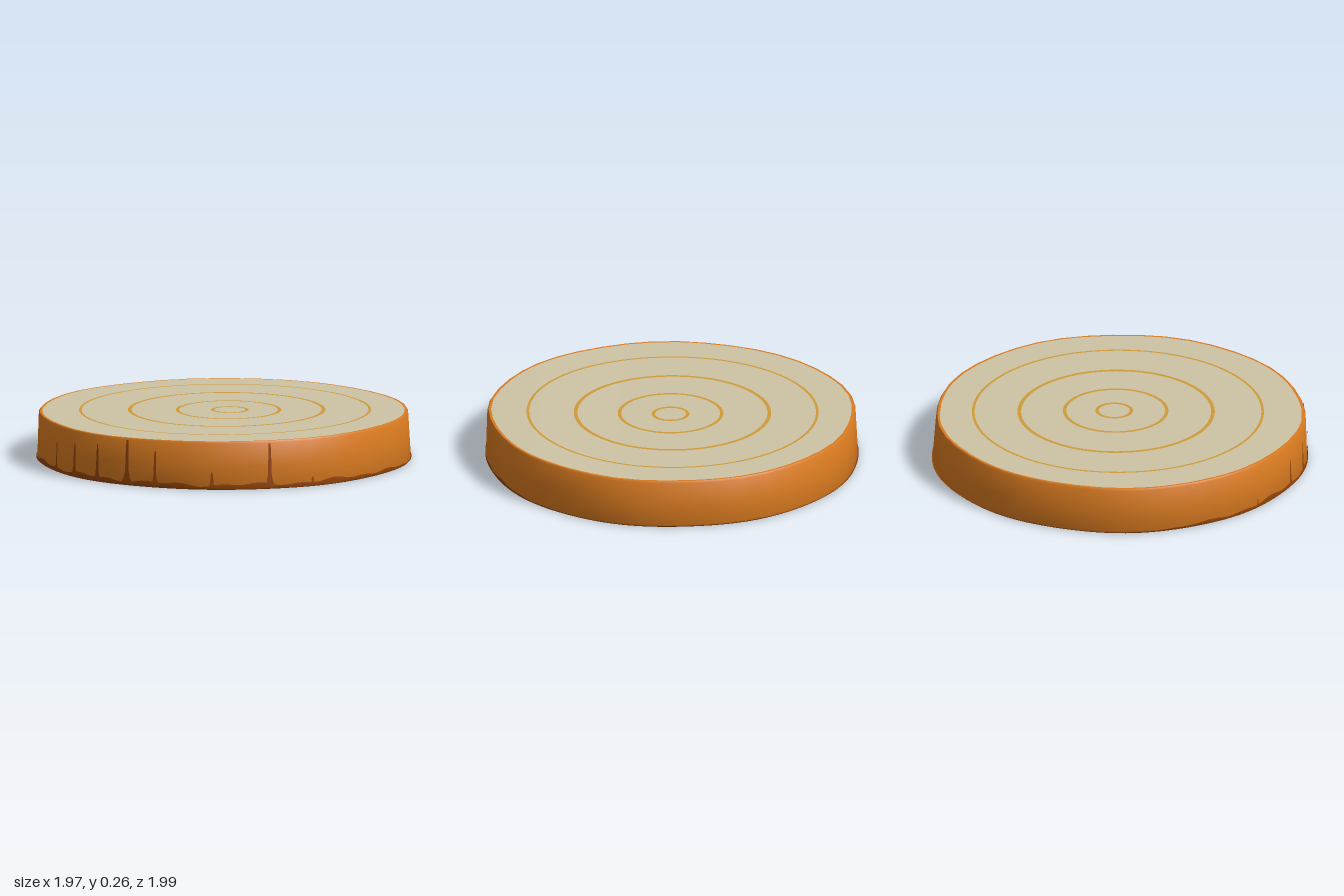
import * as THREE from 'three';
import { toCreasedNormals } from 'three/addons/utils/BufferGeometryUtils.js';

const H = 0.25, TAU = Math.PI * 2, RAD = Math.PI / 180;
const smooth = THREE.MathUtils.smoothstep;

// Gentle rise of the sawn face towards the +x side
const lift = (x) => 0.006 * smooth(x, 0.15, 0.85);

// Bark radius at an angle (0 = front, 90 degrees = +x); narrows slightly upwards
function radius(a, t) {
  const wobble = 0.003 * Math.sin(5 * a + 1) + 0.003 * Math.sin(9 * a + 0.5);
  const taper = 0.008 + 0.012 * smooth(-Math.cos(a - 0.5), -0.2, 1);
  return 0.983 + 0.008 * Math.cos(a) ** 2 + wobble - taper * t;
}

// Point on the bark wall, moved out by d
function wall(a, y, d = 0) {
  const r = radius(a, y / H) + d;
  return [r * Math.sin(a), y + (y / H) * lift(r * Math.sin(a)), r * Math.cos(a)];
}

// Point on a cut face at share k of the outline
function face(a, k, top, y) {
  const r = radius(a, top ? 1 : 0) * k, x = r * Math.sin(a);
  return [x, y + (top ? lift(x) : 0), r * Math.cos(a)];
}

// Skin over closed loops; each row maps an angle to a point
function loft(rows, n = 44) {
  const pos = [], idx = [];
  rows.forEach((row) => { for (let j = 0; j < n; j++) pos.push(...row((j / n) * TAU)); });
  for (let i = 0; i < rows.length - 1; i++) {
    for (let j = 0; j < n; j++) {
      const k = (j + 1) % n, a = i * n + j, b = i * n + k;
      idx.push(a, b, b + n, a, b + n, a + n);
    }
  }
  const g = new THREE.BufferGeometry();
  g.setAttribute('position', new THREE.Float32BufferAttribute(pos, 3));
  g.setIndex(idx);
  g.computeVertexNormals();
  return g;
}

export function createModel() {
  const group = new THREE.Group();
  const mat = (name, color, side = THREE.FrontSide) => {
    const m = new THREE.MeshStandardMaterial({ color, side });
    m.name = name;
    return m;
  };
  const bark = mat('bark', 0xda7b20);
  const darkBark = mat('dark bark', 0x964609, THREE.DoubleSide);
  const wood = mat('pale wood', 0xcec4a6);
  const ringWood = mat('ring wood', 0xd09a38);
  const add = (name, geometry, material) => {
    const mesh = new THREE.Mesh(geometry, material);
    mesh.name = name;
    group.add(mesh);
  };

  // Bark wall with narrow bevelled rims
  add('bark', toCreasedNormals(loft([
    (a) => face(a, 0.978, false, 0),
    (a) => face(a, 0.994, false, 0),
    (a) => wall(a, 0.012),
    (a) => wall(a, 0.12),
    (a) => wall(a, 0.24),
    (a) => face(a, 0.994, true, H),
    (a) => face(a, 0.98, true, H),
  ]), 0.6), bark);

  // Sawn faces
  const shares = [0.98, 0.85, 0.7, 0.55, 0.4, 0.25, 0.1, 0];
  add('topFace', loft(shares.map((k) => (a) => face(a, k, true, H)), 88), wood);
  add('bottomFace', loft([0, 0.5, 0.98].map((k) => (a) => face(a, k, false, 0.003))), wood);

  // Growth rings on both faces: centre x, centre z, radius, half width
  const rings = [
    [0.01, -0.03, 0.091, 0.009],
    [0.01, -0.022, 0.27, 0.009],
    [0, -0.017, 0.512, 0.01],
    [0, -0.007, 0.765, 0.007],
  ];
  rings.forEach(([cx, cz, r, w], i) => {
    const edge = (rr, y, top) => (a) => {
      const x = cx + rr * Math.sin(a);
      return [x, y + (top ? lift(x) : 0), cz + rr * Math.cos(a)];
    };
    add('topRing' + (i + 1), loft([edge(r + w, H + 0.002, true), edge(r - w, H + 0.002, true)], 72), ringWood);
    add('bottomRing' + (i + 1), loft([edge(r - w, 0.001), edge(r + w, 0.001)], 72), ringWood);
  });

  // Ragged dark foot of the bark, strongest at the front and +x side
  const footHeight = (a) => {
    const near = smooth(Math.cos(a - 35 * RAD), -0.5, 0.6);
    return 0.006 + near * (0.02 + 0.006 * Math.sin(13 * a) + 0.006 * Math.sin(29 * a));
  };
  add('barkFoot', loft([
    (a) => face(a, 0.98, false, -0.0005),
    (a) => face(a, 0.996, false, -0.0005),
    (a) => wall(a, 0.005, 0.003),
    (a) => wall(a, footHeight(a), 0.003),
  ], 132), darkBark);

  // Upright cracks, flared at the foot: angle in degrees, height, half width
  const cracks = [
    [-28, 0.05, 0.006], [-9.5, 0.16, 0.007], [1.3, 0.18, 0.009], [11.5, 0.2, 0.008],
    [22.5, 0.24, 0.011], [32, 0.19, 0.008], [50, 0.09, 0.009], [68, 0.238, 0.01], [82, 0.05, 0.008],
  ];
  cracks.forEach(([deg, h, w], i) => {
    const pos = [], idx = [];
    [[0, 3.2], [0.12, 1.7], [0.3, 1], [0.7, 0.8], [1, 0.5]].forEach(([t, s], j) => {
      const y = 0.012 + t * (h - 0.012);
      pos.push(...wall(deg * RAD - w * s, y, 0.004), ...wall(deg * RAD + w * s, y, 0.004));
      if (j) idx.push(2 * j - 2, 2 * j - 1, 2 * j + 1, 2 * j - 2, 2 * j + 1, 2 * j);
    });
    const g = new THREE.BufferGeometry();
    g.setAttribute('position', new THREE.Float32BufferAttribute(pos, 3));
    g.setIndex(idx);
    g.computeVertexNormals();
    add('barkCrack' + (i + 1), g, darkBark);
  });

  return group;
}
